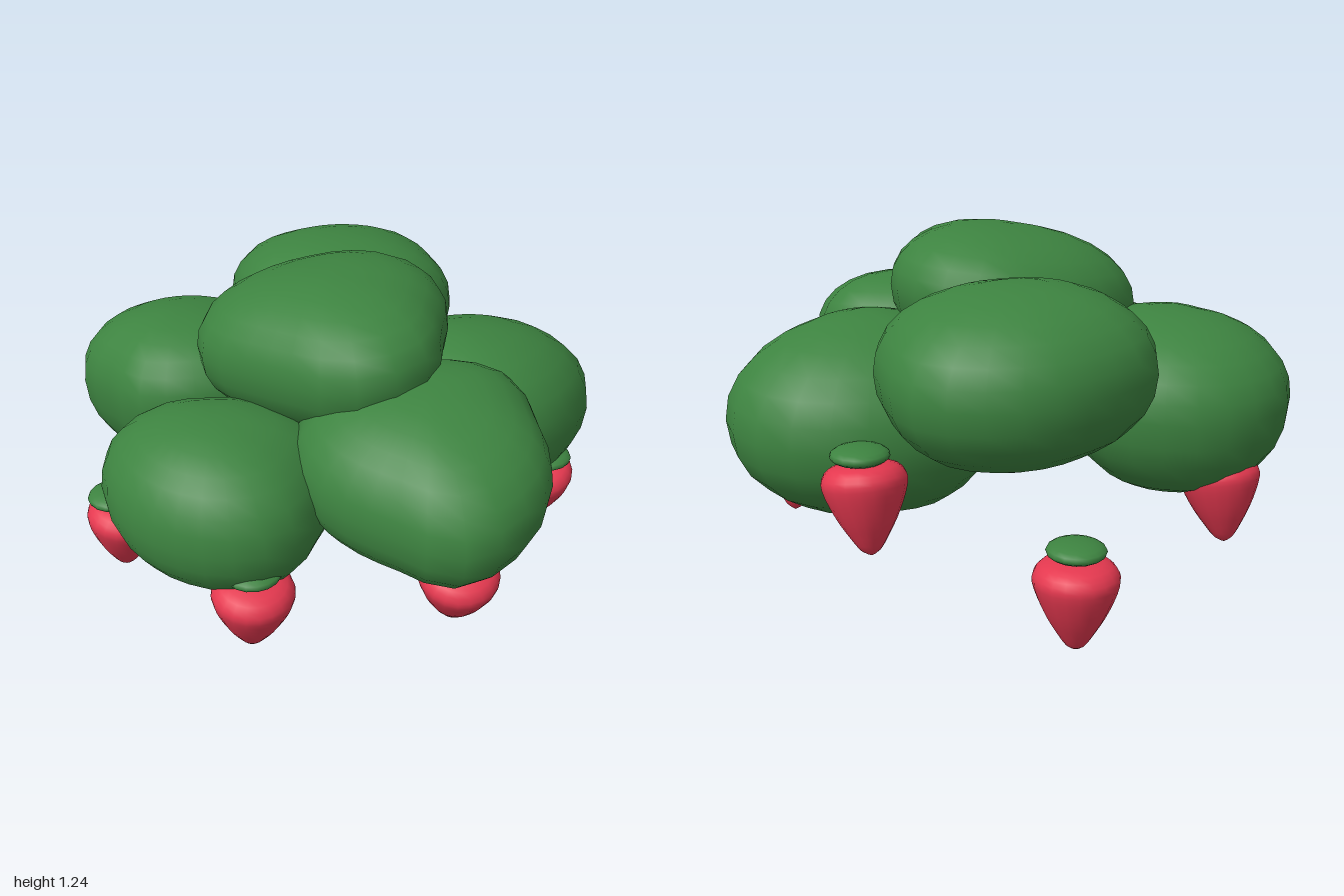
import * as THREE from 'three';
import { mergeVertices } from 'three/addons/utils/BufferGeometryUtils.js';

// Foliage clumps: centre, height above and below it, tilt along x and z,
// ring exponent (lower is fuller), and plan radii every 30 degrees,
// starting at +x and turning towards +z
const CLUMPS = [
  { name: 'topClump', at: [-0.08, 1.0, 0.05], up: 0.24, down: 0.27, tilt: [0.09, 0.02], ringPower: 0.85,
    radii: [0.44, 0.42, 0.49, 0.48, 0.38, 0.37, 0.44, 0.47, 0.45, 0.45, 0.49, 0.48] },
  { name: 'backClump', at: [0.12, 0.87, -0.6], up: 0.262, down: 0.29, tilt: [-0.04, 0.06], ringPower: 0.87,
    radii: [0.43, 0.45, 0.42, 0.4, 0.42, 0.45, 0.45, 0.45, 0.4, 0.4, 0.42, 0.45] },
  { name: 'backRightClump', at: [-0.55, 0.7, -0.38], up: 0.27, down: 0.35, tilt: [0, 0.08], ringPower: 0.87,
    radii: [0.4, 0.42, 0.42, 0.4, 0.4, 0.35, 0.39, 0.41, 0.41, 0.41, 0.41, 0.42] },
  { name: 'leftClump', at: [0.44, 0.61, -0.02], up: 0.345, down: 0.355, tilt: [0.0, 0.07], ringPower: 1,
    radii: [0.53, 0.46, 0.44, 0.45, 0.43, 0.42, 0.4, 0.44, 0.46, 0.44, 0.48, 0.53] },
  { name: 'frontRightClump', at: [-0.52, 0.615, 0.36], up: 0.275, down: 0.275, tilt: [0, -0.05], ringPower: 0.87,
    radii: [0.42, 0.38, 0.4, 0.37, 0.34, 0.34, 0.37, 0.42, 0.41, 0.36, 0.37, 0.39] },
  { name: 'frontClump', at: [0.14, 0.75, 0.55], up: 0.255, down: 0.28, tilt: [0.07, -0.14], ringPower: 0.85,
    radii: [0.4, 0.42, 0.44, 0.45, 0.36, 0.36, 0.41, 0.45, 0.4, 0.4, 0.42, 0.45] },
];

// Berries: leaf cap centre, top of the fruit's axis and tip of the fruit
const BERRIES = [
  { cap: [0, 0.34, -0.85], top: [0, 0.34, -0.85], tip: [0, 0.005, -0.86] },
  { cap: [0.6, 0.605, -0.51], top: [0.59, 0.605, -0.49], tip: [0.58, 0.275, -0.55] },
  { cap: [0.72, 0.495, 0.21], top: [0.68, 0.51, 0.22], tip: [0.73, 0.19, 0.13] },
  { cap: [0.24, 0.475, 0.7], top: [0.23, 0.48, 0.72], tip: [0.24, 0.165, 0.62] },
  { cap: [-0.45, 0.475, 0.64], top: [-0.45, 0.48, 0.65], tip: [-0.46, 0.16, 0.6] },
  { cap: [-0.87, 0.45, 0.06], top: [-0.83, 0.46, 0.08], tip: [-0.86, 0.125, 0.03] },
  { cap: [-0.62, 0.52, -0.58], top: [-0.63, 0.52, -0.58], tip: [-0.65, 0.195, -0.63] },
];

// Smooth periodic interpolation of the plan radii
function radiusAt(radii, angle) {
  const n = radii.length;
  const t = ((angle / (2 * Math.PI)) * n + n) % n;
  const i = Math.floor(t), f = t - i;
  const [a, b, c, d] = [-1, 0, 1, 2].map(k => radii[(i + k + n) % n]);
  return b + 0.5 * f * (c - a + f * (2 * a - 5 * b + 4 * c - d + f * (3 * (b - c) + d - a)));
}

// A squashed, tilted, uneven ball
function clumpGeometry({ up, down, tilt, ringPower, radii }) {
  let geo = new THREE.SphereGeometry(1, 24, 14);
  geo.deleteAttribute('uv');
  geo.deleteAttribute('normal');
  const p = geo.attributes.position;
  for (let i = 0; i < p.count; i++) {
    const angle = Math.atan2(p.getZ(i), p.getX(i));
    const ring = Math.hypot(p.getX(i), p.getZ(i)) ** ringPower;
    const r = radiusAt(radii, angle) * ring;
    const x = Math.cos(angle) * r, z = Math.sin(angle) * r, s = p.getY(i);
    const y = Math.sign(s) * Math.abs(s) ** 0.94 * (s > 0 ? up : down);
    p.setXYZ(i, x, y + tilt[0] * x + tilt[1] * z, z);
  }
  geo = mergeVertices(geo, 1e-4);
  geo.computeVertexNormals();
  return geo;
}

export function createModel() {
  const model = new THREE.Group();
  model.name = 'berryBush';
  const green = new THREE.MeshStandardMaterial({ color: 0x3d8340 });
  green.name = 'leafGreen';
  const red = new THREE.MeshStandardMaterial({ color: 0xe4384f });
  red.name = 'berryRed';

  // Foliage
  for (const clump of CLUMPS) {
    const mesh = new THREE.Mesh(clumpGeometry(clump), green);
    mesh.name = clump.name;
    mesh.position.set(...clump.at);
    model.add(mesh);
  }

  // Fruit profile, hanging from the top of its axis at the origin
  const profile = new THREE.SplineCurve([
    [0, -0.335], [0.032, -0.316], [0.063, -0.27], [0.095, -0.215], [0.122, -0.155],
    [0.138, -0.105], [0.136, -0.075], [0.112, -0.045], [0.06, -0.03], [0, -0.025],
  ].map(([x, y]) => new THREE.Vector2(x, y))).getPoints(18);
  profile.forEach(v => { v.x = Math.max(0, v.x); });
  const fruitGeo = new THREE.LatheGeometry(profile, 20);
  const capGeo = new THREE.SphereGeometry(1, 16, 10).scale(0.097, 0.032, 0.097);
  const down = new THREE.Vector3(0, -1, 0);

  // Berries under the foliage
  BERRIES.forEach(({ cap, top, tip }, i) => {
    const berry = new THREE.Group();
    berry.name = `berry${i + 1}`;
    const fruit = new THREE.Mesh(fruitGeo, red);
    fruit.name = 'fruit';
    fruit.position.set(...top);
    const axis = new THREE.Vector3(...tip).sub(fruit.position).normalize();
    fruit.quaternion.setFromUnitVectors(down, axis);
    const leaf = new THREE.Mesh(capGeo, green);
    leaf.name = 'leafCap';
    leaf.position.set(...cap);
    berry.add(fruit, leaf);
    model.add(berry);
  });
  return model;
}
